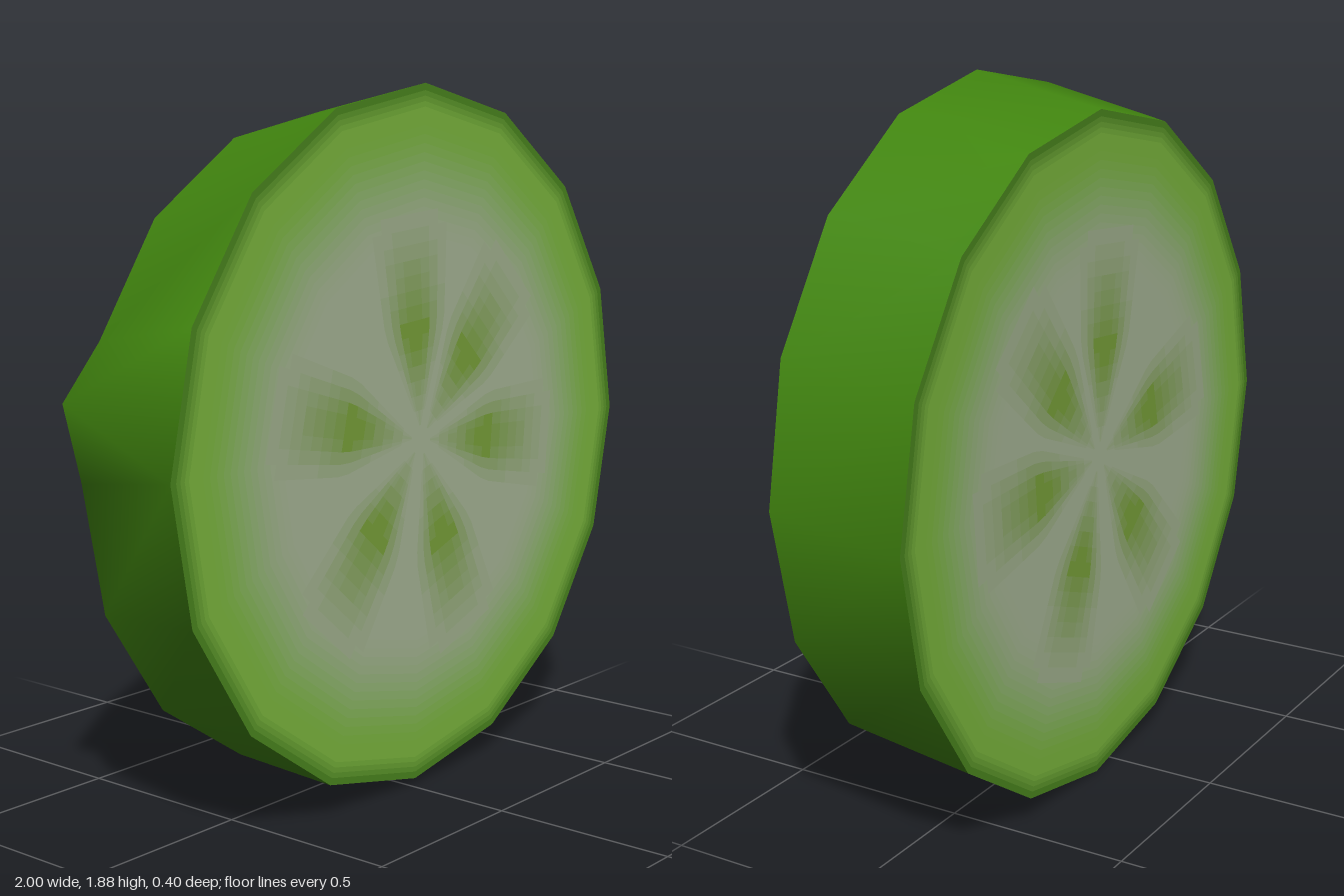
import * as THREE from 'three';
import { mergeGeometries } from 'three/addons/utils/BufferGeometryUtils.js';

const SIDES = 16;
// The two cut faces: the slice tapers and leans slightly towards the back
const FRONT = { x: 0.03, y: 0.95, z: 0.2, r: 0.932, turn: -0.016 };
const BACK = { x: 0.095, y: 0.905, z: -0.2, r: 0.905, turn: 0 };

const RIM = new THREE.Color(0x3c7a14);
const GREEN = new THREE.Color(0x7ab53c);
const PALE = new THREE.Color(0xa5b394);
const SEED = new THREE.Color(0x729e1e);

function addMesh(group, name, geometry, color, side = THREE.FrontSide) {
  const mesh = new THREE.Mesh(geometry, new THREE.MeshStandardMaterial({ color, side }));
  mesh.name = name;
  group.add(mesh);
  return mesh;
}

function cornerOf(face, i) {
  const a = (i / SIDES) * Math.PI * 2 + face.turn;
  return [face.x + face.r * Math.cos(a), face.y + face.r * Math.sin(a), face.z];
}

// Smooth side wall, with one panel pulled out to a blunt point
function skinGeometry() {
  const points = [];
  const index = [];
  for (let i = 0; i < SIDES; i++) points.push(...cornerOf(FRONT, i), ...cornerOf(BACK, i));
  points.push(-1, 1.14, -0.05);
  const tip = SIDES * 2;
  for (let i = 0; i < SIDES; i++) {
    const a = i * 2, b = a + 1;
    const c = ((i + 1) % SIDES) * 2, d = c + 1;
    if (i === 7) index.push(a, b, tip, b, d, tip, d, c, tip, c, a, tip);
    else index.push(a, b, d, a, d, c);
  }
  const g = new THREE.BufferGeometry();
  g.setAttribute('position', new THREE.Float32BufferAttribute(points, 3));
  g.setIndex(index);
  g.computeVertexNormals();
  return g;
}

// Flesh colour by distance from the centre (0..1)
function fleshColor(t) {
  if (t > 0.93) return GREEN.clone().lerp(RIM, (t - 0.93) / 0.07);
  return PALE.clone().lerp(GREEN, THREE.MathUtils.smoothstep(t, 0.56, 0.9));
}

// Concentric bands that blend from pale centre to dark rim
function addFlesh(group, turn) {
  const edges = [0, 0.56];
  for (let t = 0.585; t < 0.93; t += 0.025) edges.push(t);
  edges.push(0.935, 0.95, 0.965, 0.98, 1);
  for (let i = 0; i < edges.length - 1; i++) {
    const g = i === 0
      ? new THREE.CircleGeometry(edges[1], SIDES, turn)
      : new THREE.RingGeometry(edges[i], edges[i + 1], SIDES, 1, turn);
    addMesh(group, 'fleshBand', g, fleshColor((edges[i] + edges[i + 1]) / 2));
  }
}

// Seed pockets: wedge-shaped patches, strongest in the middle, fading outwards
function addSeeds(group) {
  const TONES = 10, ROWS = 14, COLS = 8;
  const tones = Array.from({ length: TONES + 1 }, () => []);
  const halfWidth = (r) => (r < 0.3 ? 0.125 * (r - 0.03) / 0.27 : 0.125 + (r - 0.3) * 0.12);
  for (const degrees of [95, 46, -5, -70, -130, 167]) {
    for (let i = 0; i < ROWS; i++) {
      const r0 = 0.04 + 0.56 * i / ROWS, r1 = 0.04 + 0.56 * (i + 1) / ROWS;
      const r = (r0 + r1) / 2;
      const along = r < 0.28 ? (r - 0.02) / 0.26 : (0.61 - r) / 0.33;
      for (let j = 0; j < COLS; j++) {
        const u0 = j / COLS * 2 - 1, u1 = (j + 1) / COLS * 2 - 1;
        const across = Math.min(1, 1.35 * (1.05 - Math.abs(u0 + u1) / 2));
        const tone = Math.round(along * across * TONES);
        if (tone < 1) continue;
        const cell = new THREE.PlaneGeometry(1, 1);
        const corners = [[r0, u1], [r1, u1], [r0, u0], [r1, u0]];
        corners.forEach(([d, u], k) => cell.attributes.position.setXYZ(k, d, u * halfWidth(d), 0));
        cell.rotateZ(THREE.MathUtils.degToRad(degrees));
        tones[tone].push(cell);
      }
    }
  }
  tones.forEach((cells, tone) => {
    if (!cells.length) return;
    const color = PALE.clone().lerp(SEED, tone / TONES);
    addMesh(group, 'seedPockets', mergeGeometries(cells), color, THREE.DoubleSide);
  });
}

function cutFace(name, face, isBack) {
  const group = new THREE.Group();
  group.name = name;
  const flesh = new THREE.Group();
  flesh.name = 'flesh';
  flesh.scale.set(face.r, face.r, 1);
  if (isBack) flesh.rotation.y = Math.PI;
  addFlesh(flesh, face.turn);
  const seeds = new THREE.Group();
  seeds.name = 'seeds';
  seeds.position.z = isBack ? -0.002 : 0.002;
  addSeeds(seeds);
  group.add(flesh, seeds);
  group.position.set(face.x, face.y, face.z);
  return group;
}

export function createModel() {
  const model = new THREE.Group();
  model.name = 'cucumberSlice';
  addMesh(model, 'skin', skinGeometry(), 0x41850f);
  model.add(cutFace('frontFace', FRONT, false), cutFace('backFace', BACK, true));
  return model;
}
